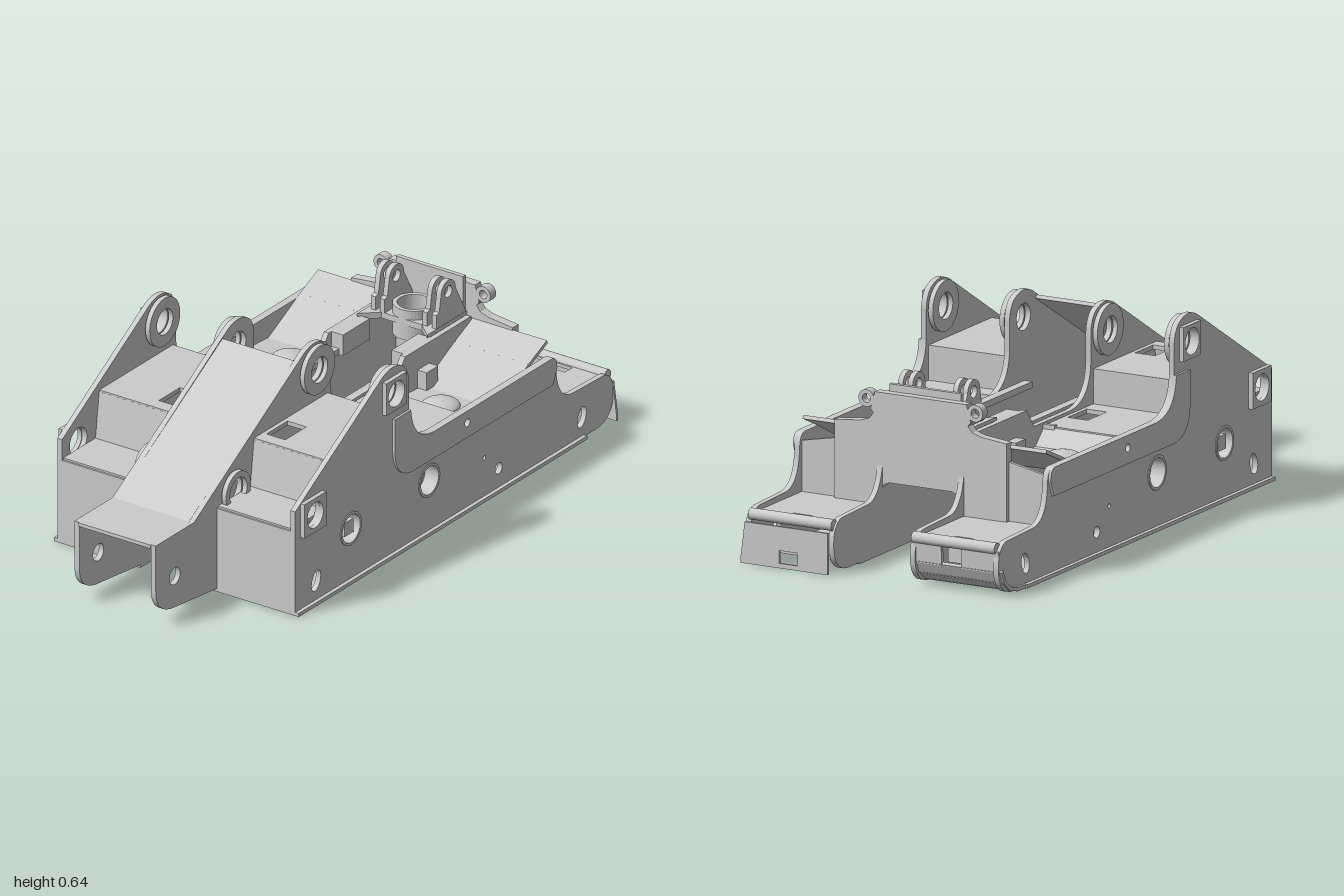
import * as THREE from 'three';

const mat = new THREE.MeshStandardMaterial({ color: 0xcccccc, side: THREE.DoubleSide });

export function createModel() {
  const root = new THREE.Group();
  const add = (name, geo, x = 0, y = 0, z = 0) => {
    const m = new THREE.Mesh(geo, mat);
    m.name = name;
    m.position.set(x, y, z);
    root.add(m);
    return m;
  };
  const box = (name, x0, x1, y0, y1, z0, z1) =>
    add(name, new THREE.BoxGeometry(x1 - x0, y1 - y0, Math.abs(z1 - z0)), (x0 + x1) / 2, (y0 + y1) / 2, (z0 + z1) / 2);
  const circle = (x, y, r) => new THREE.Path().absarc(x, y, r, 0, Math.PI * 2, true);
  const poly = (pts) => new THREE.Path(pts.map((p) => new THREE.Vector2(...p)));
  const rect = (x0, x1, y0, y1) => poly([[x0, y0], [x0, y1], [x1, y1], [x1, y0]]);
  // tilted oblong slot
  const slot = (x, y) => new THREE.Path().absellipse(x, y, 0.022, 0.034, 0, Math.PI * 2, true, -0.35);
  const extrude = (shape, holes, t) => {
    shape.holes.push(...holes);
    return new THREE.ExtrudeGeometry(shape, { depth: t, bevelEnabled: false, curveSegments: 20 });
  };
  const toShape = (s) => (Array.isArray(s) ? new THREE.Shape(s.map((p) => new THREE.Vector2(...p))) : s);
  // upright plate in the x-y plane, centred on z
  const plate = (name, s, holes, z, t) => add(name, extrude(toShape(s), holes, t), 0, 0, z - t / 2);
  // horizontal sheet given in x-z, top at y
  const sheet = (name, s, holes, y, t) => add(name, extrude(toShape(s), holes, t).rotateX(Math.PI / 2), 0, y, 0);
  // bent sheet following an x-y polyline
  const bent = (name, pts, z0, z1, t = 0.012) => {
    for (let i = 0; i + 1 < pts.length; i++) {
      const [ax, ay] = pts[i], [bx, by] = pts[i + 1];
      const g = new THREE.BoxGeometry(Math.hypot(bx - ax, by - ay) + t * 0.6, t, Math.abs(z1 - z0));
      add(name, g, (ax + bx) / 2, (ay + by) / 2, (z0 + z1) / 2).rotation.z = Math.atan2(by - ay, bx - ax);
    }
  };

  // side plate outline; the inner plates carry on into the tail
  const sideOutline = (inner) => {
    const s = new THREE.Shape();
    if (inner) {
      s.moveTo(-0.68, 0.01);
      s.lineTo(-0.9, 0.035);
      s.quadraticCurveTo(-1, 0.045, -1, 0.13);
      s.lineTo(-1, 0.28);
      s.lineTo(-0.8, 0.28);
    } else {
      s.moveTo(-0.68, 0);
      s.lineTo(-0.68, 0.35);
    }
    s.lineTo(-0.235, 0.615);
    s.quadraticCurveTo(-0.17, 0.655, -0.11, 0.615);
    s.quadraticCurveTo(-0.085, 0.59, -0.085, 0.55);
    s.lineTo(-0.085, 0.46);
    s.quadraticCurveTo(-0.075, 0.345, 0.04, 0.34);
    if (inner) {
      s.lineTo(0.26, 0.34);
      s.lineTo(0.305, 0.4);
      s.lineTo(0.65, 0.4);
      s.lineTo(0.68, 0.34);
    } else {
      s.lineTo(0.65, 0.34);
      s.quadraticCurveTo(0.68, 0.34, 0.685, 0.3);
    }
    s.quadraticCurveTo(0.69, 0.175, 0.78, 0.175);
    s.lineTo(0.93, 0.17);
    s.quadraticCurveTo(0.985, 0.165, 0.985, 0.09);
    s.quadraticCurveTo(0.98, 0.01, 0.9, 0.005);
    s.closePath();
    return s;
  };

  // raised band along the top edge of the outer plate
  const bandOutline = () => {
    const s = new THREE.Shape();
    s.moveTo(-0.17, 0.46);
    s.lineTo(-0.085, 0.46);
    s.quadraticCurveTo(-0.075, 0.345, 0.04, 0.34);
    s.lineTo(0.65, 0.34);
    s.quadraticCurveTo(0.68, 0.34, 0.68, 0.3);
    s.lineTo(0.66, 0.25);
    s.lineTo(-0.08, 0.25);
    s.quadraticCurveTo(-0.17, 0.26, -0.17, 0.36);
    s.closePath();
    return s;
  };

  const ring = (x, y, ro, ri) => [new THREE.Shape().absarc(x, y, ro, 0, Math.PI * 2), [circle(x, y, ri)]];

  for (const s of [1, -1]) {
    // outer and inner side plates
    plate('outerSidePlate', sideOutline(false), [
      circle(-0.595, 0.31, 0.045), circle(-0.17, 0.55, 0.042), circle(-0.39, 0.18, 0.048), circle(0.02, 0.18, 0.048),
      circle(0.21, 0.3, 0.013), circle(0.31, 0.14, 0.007), circle(0.385, 0.075, 0.018), slot(-0.57, 0.075), slot(0.82, 0.075),
    ], s * 0.433, 0.018);
    plate('innerSidePlate', sideOutline(true), [
      circle(-0.9, 0.14, 0.028), circle(-0.595, 0.31, 0.045), circle(-0.17, 0.55, 0.042),
    ], s * 0.142, 0.018);
    plate('edgeBand', bandOutline(), [circle(0.21, 0.3, 0.013)], s * 0.446, 0.008);

    // ear reinforcements and square hole pads
    for (const z of [0.412, 0.163]) plate('earRing', ...ring(-0.17, 0.55, 0.08, 0.042), s * z, 0.016);
    plate('rearRing', ...ring(-0.595, 0.31, 0.065, 0.045), s * 0.163, 0.016);
    for (const [x, y, h] of [[-0.17, 0.55, 0.054], [-0.595, 0.31, 0.057]])
      plate('holePad', [[x - h, y - h], [x + h, y - h], [x + h, y + h], [x - h, y + h]], [circle(x, y, 0.042)], s * 0.449, 0.015);
    // pivot sockets behind the round side openings
    for (const x of [-0.39, 0.02]) {
      plate('pivotSocket', ...ring(x, 0.18, 0.055, 0.046), s * 0.42, 0.05);
      box('pivotBacking', x - 0.055, x + 0.055, 0.125, 0.235, s * 0.385, s * 0.395);
    }
    box('pivotBlock', -0.412, -0.365, 0.157, 0.203, s * 0.395, s * 0.435);

    // beam floor, rear wall and stepped decks
    const a = s * 0.15, b = s * 0.425;
    box('floor', -0.68, 0.83, 0, 0.012, s * 0.133, s * 0.455);
    box('rearWall', -0.68, -0.668, 0.01, 0.28, a, b);
    bent('rearDeck', [[-0.67, 0.28], [-0.5, 0.28], [-0.48, 0.43]], a, b);
    const deck = (x0, x1) => [[x0, a], [x1, a], [x1, b], [x0, b]];
    sheet('upperDeck', deck(-0.485, -0.1), [rect(-0.44, -0.33, s * 0.165, s * 0.235)], 0.44, 0.014);
    box('upperDeckFront', -0.115, -0.1, 0.33, 0.44, a, b);
    sheet('middleDeck', deck(-0.11, 0.2), [rect(-0.035, 0.08, s * 0.165, s * 0.235)], 0.33, 0.014);
    bent('valleyDeck', [[0.195, 0.322], [0.25, 0.27], [0.4, 0.26], [0.57, 0.345], [0.66, 0.385]], a, b);
    add('deckDome', new THREE.SphereGeometry(0.06, 24, 12, 0, Math.PI * 2, 0, Math.PI / 2).scale(1, 0.4, 1), 0.31, 0.27, s * 0.28);
    box('wallBlock', 0.37, 0.43, 0.27, 0.33, s * 0.15, s * 0.185);
    box('deckRib', 0.19, 0.205, 0.3, 0.335, s * 0.15, s * 0.19);

    // front wall and low nose deck
    plateFrontWall(s);
    sheet('noseDeck', deck(0.66, 0.965), [rect(0.91, 0.95, s * 0.25, s * 0.315)], 0.155, 0.012);
    add('noseRod', new THREE.CylinderGeometry(0.018, 0.018, 0.29, 20).rotateX(Math.PI / 2), 0.972, 0.153, s * 0.285);

    // raised lip and bosses lining the centre gap
    bent('gapLip', [[-0.17, 0.34], [0.45, 0.34]], s * 0.105, s * 0.134, 0.02);
    box('gapBoss', 0.32, 0.46, 0.33, 0.4, s * 0.09, s * 0.134);
  }

  // outer halves of the front wall
  function plateFrontWall(s) {
    const g = extrude(toShape([[0.15, 0.15], [0.425, 0.15], [0.425, 0.315], [0.3, 0.34], [0.15, 0.34]]), [], 0.012);
    add('frontWall', g.rotateY(-s * Math.PI / 2), s > 0 ? 0.672 : 0.66);
  }

  // left nose: hanging flap with a window and notch
  const flap = toShape([[0.15, 0], [0.455, 0], [0.455, 0.012], [0.44, 0.13], [0.15, 0.13]]);
  add('noseFlap', extrude(flap, [rect(0.255, 0.32, 0.015, 0.055)], 0.008).rotateY(-Math.PI / 2), 0.992);

  // right nose: rounded shell with a window
  const arc = [[0.82, 0.006], [0.88, 0.008], [0.925, 0.02], [0.955, 0.045], [0.972, 0.08]];
  bent('noseShell', arc, -0.14, -0.45);
  bent('noseShellTop', [[0.972, 0.08], [0.975, 0.14]], -0.14, -0.24);
  bent('noseShellTop', [[0.972, 0.08], [0.975, 0.14]], -0.31, -0.44);
  box('noseWindowBack', 0.93, 0.94, 0.08, 0.14, -0.24, -0.31);

  // tail cover between the inner plates
  bent('tailCover', [[-1, 0.274], [-0.8, 0.274], [-0.25, 0.595]], -0.134, 0.134);

  // front cross plate with a raised tower, ears and a centre cut-out
  const half = [[0.135, 0.15], [0.135, 0.2], [0.128, 0.218], [0.11, 0.226]];
  const side = [[0.16, 0.505], [0.175, 0.45], [0.165, 0.438], [0.18, 0.42], [0.21, 0.41], [0.3, 0.4], [0.3, 0.15]];
  const flip = (pts) => pts.map(([z, y]) => [-z, y]).reverse();
  const cross = toShape([...side, ...half, ...flip(half), ...flip(side)]);
  add('crossPlate', extrude(cross, [], 0.03).rotateY(-Math.PI / 2), 0.688);
  for (const s of [1, -1]) {
    const ear = new THREE.Shape().absarc(s * 0.19, 0.481, 0.027, 0, Math.PI * 2);
    add('crossPlateEar', extrude(ear, [circle(s * 0.19, 0.481, 0.014)], 0.03).rotateY(-Math.PI / 2), 0.688);
  }

  // hitch bridge, vertical ring and paired lugs
  sheet('hitchBridge', [[0.45, -0.13], [0.5, -0.075], [0.5, 0.075], [0.45, 0.13], [0.66, 0.13], [0.66, -0.13]], [circle(0.565, 0, 0.052)], 0.41, 0.02);
  const tube = extrude(new THREE.Shape().absarc(0.565, 0, 0.066, 0, Math.PI * 2), [circle(0.565, 0, 0.052)], 0.1);
  add('hitchRing', tube.rotateX(Math.PI / 2), 0, 0.44, 0);
  for (const z of [0.12, 0.086, -0.072, -0.106]) {
    const lug = new THREE.Shape();
    lug.moveTo(0.5, 0.4);
    lug.lineTo(0.5, 0.455);
    lug.lineTo(0.515, 0.46);
    lug.lineTo(0.525, 0.515);
    lug.absarc(0.563, 0.512, 0.038, Math.PI, 0, true);
    lug.lineTo(0.645, 0.43);
    lug.lineTo(0.66, 0.4);
    plate('hitchLug', lug, [circle(0.563, 0.512, 0.019)], z, 0.017);
  }
  box('hitchBackStrip', 0.645, 0.66, 0.4, 0.528, -0.125, 0.125);
  return root;
}
